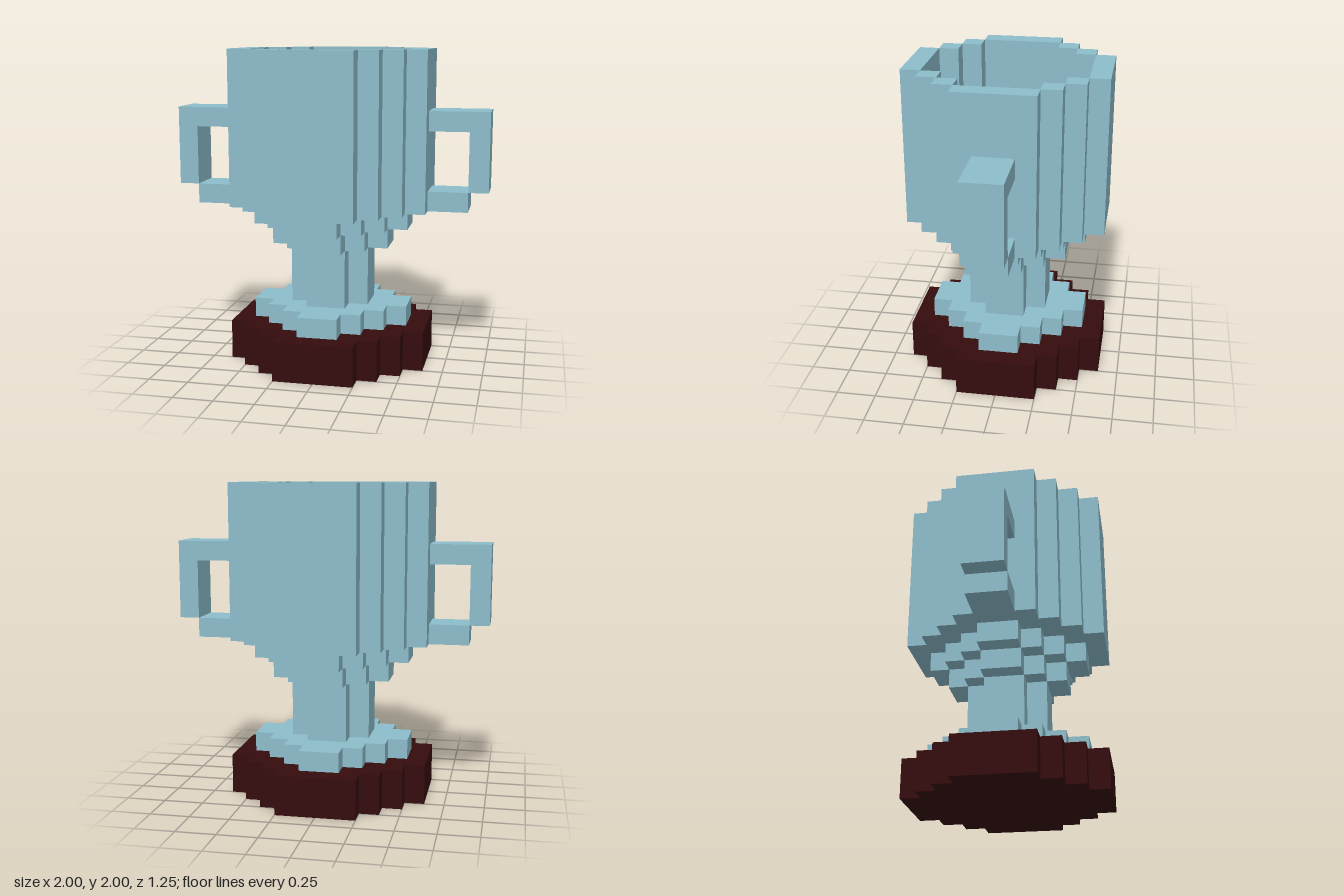
import * as THREE from 'three';

const U = 0.125; // one block

// Corners of a stepped round: n = half width, flat = half length of its straight sides (in blocks)
function steppedOutline(n, flat) {
  const q = [];
  for (let x = n, y = flat; x >= flat; x--, y++) {
    q.push([x, y]);
    if (x > flat) q.push([x - 1, y]);
  }
  const back = [...q].reverse();
  return [
    ...q,
    ...back.map(([x, y]) => [-x, y]),
    ...q.map(([x, y]) => [-x, -y]),
    ...back.map(([x, y]) => [x, -y]),
  ].map(([x, y]) => new THREE.Vector2(x * U, y * U));
}

export function createModel() {
  const cupBlue = new THREE.MeshStandardMaterial({ color: 0x8dbdcb });
  cupBlue.name = 'pale blue';
  const baseRed = new THREE.MeshStandardMaterial({ color: 0x350c0d });
  baseRed.name = 'dark red';

  const model = new THREE.Group();
  model.name = 'trophy';

  // Stepped slab from y0 to y1 (in blocks), with an optional stepped hole
  function slab(name, material, n, flat, y0, y1, hole = 0) {
    const shape = new THREE.Shape(steppedOutline(n, flat));
    if (hole) shape.holes.push(new THREE.Path(steppedOutline(hole, 1)));
    const geometry = new THREE.ExtrudeGeometry(shape, { depth: (y1 - y0) * U, bevelEnabled: false });
    geometry.rotateX(-Math.PI / 2).translate(0, y0 * U, 0);
    const mesh = new THREE.Mesh(geometry, material);
    mesh.name = name;
    model.add(mesh);
  }

  // Box given by its limits in blocks
  function block(parent, name, x0, x1, y0, y1, z0, z1) {
    const geometry = new THREE.BoxGeometry((x1 - x0) * U, (y1 - y0) * U, (z1 - z0) * U);
    geometry.translate((x0 + x1) * U / 2, (y0 + y1) * U / 2, (z0 + z1) * U / 2);
    const mesh = new THREE.Mesh(geometry, cupBlue);
    mesh.name = name;
    parent.add(mesh);
  }

  // Base, foot and stem
  slab('base', baseRed, 5, 2, 0, 2);
  slab('foot', cupBlue, 4, 1, 2, 3);
  slab('stem', cupBlue, 2, 1, 3, 6);

  // Stepped bowl, hollow inside
  slab('lowerBowl', cupBlue, 3, 1, 6, 7, 1);
  slab('middleBowl', cupBlue, 4, 1, 7, 8, 2);
  slab('upperBowl', cupBlue, 5, 2, 8, 9, 3);

  // Cup wall: four flat panels joined by corner posts
  const wall = new THREE.Group();
  wall.name = 'cupWall';
  model.add(wall);
  for (const s of [-1, 1]) {
    const near = s > 0 ? 4 : -5;
    block(wall, 'sidePanel', near, near + 1, 9, 16, -2, 2);
    block(wall, 'facePanel', -2, 2, 9, 16, near, near + 1);
    for (const t of [-1, 1]) {
      for (const [x, z] of [[3, 2], [2, 3]]) {
        const px = s > 0 ? x : -x - 1;
        const pz = t > 0 ? z : -z - 1;
        block(wall, 'cornerPost', px, px + 1, 9, 16, pz, pz + 1);
      }
    }
  }

  // Handles, one on each side
  for (const s of [-1, 1]) {
    const handle = new THREE.Group();
    handle.name = s > 0 ? 'leftHandle' : 'rightHandle';
    model.add(handle);
    const bar = (name, a, b, y0, y1) =>
      block(handle, name, Math.min(s * a, s * b), Math.max(s * a, s * b), y0, y1, -1, 1);
    bar('upperArm', 5, 8, 12, 13);
    bar('grip', 7, 8, 9, 12);
    bar('lowerArm', 5, 7, 8, 9);
  }

  return model;
}
